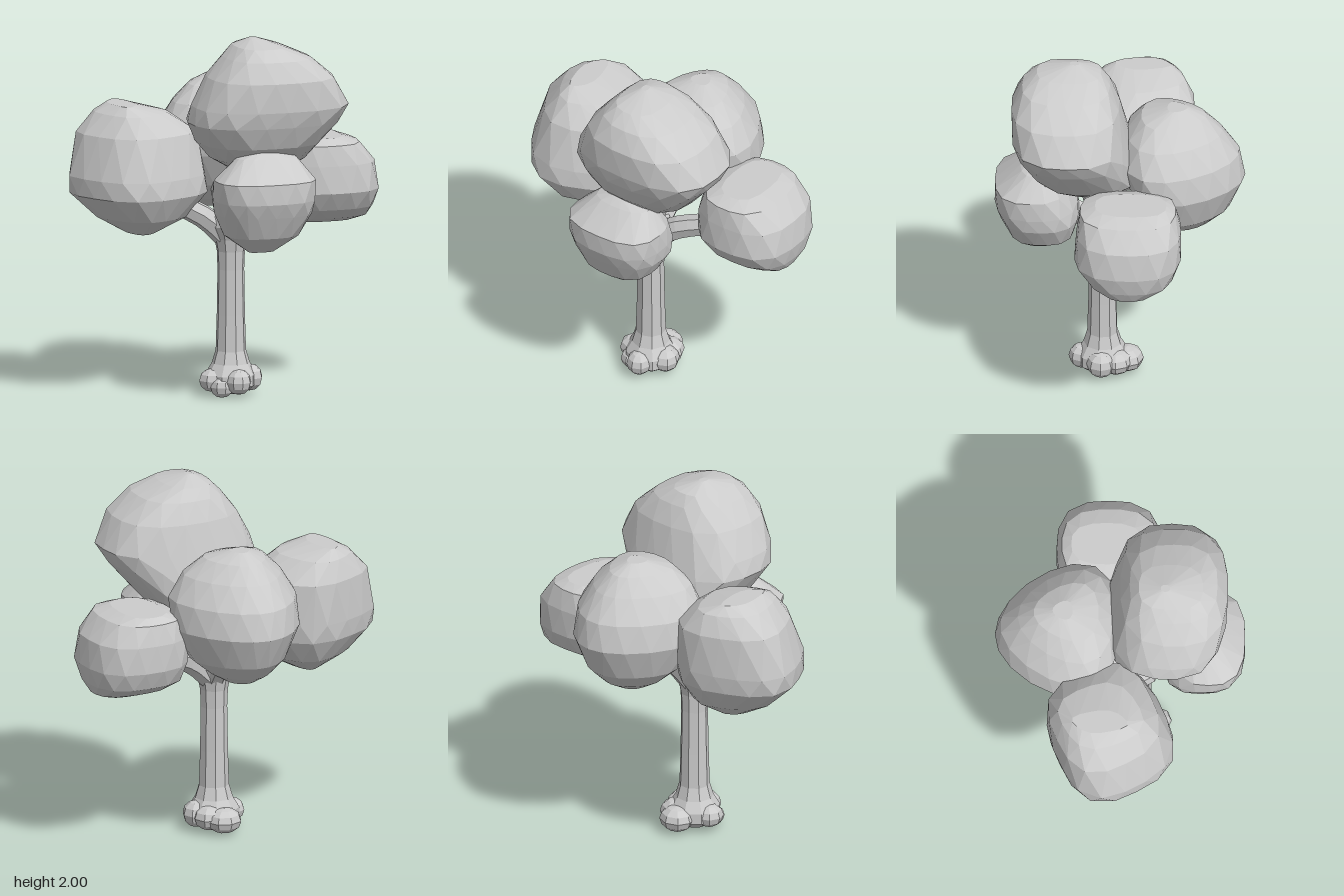
import * as THREE from 'three';
import { ConvexGeometry } from 'three/addons/geometries/ConvexGeometry.js';

const V = (x, y, z) => new THREE.Vector3(x, y, z);
const material = new THREE.MeshStandardMaterial({ color: 0xcccccc, flatShading: true });

// Outline of a rounded square turned by yaw, scaled to fill -1..1 both ways.
// Taper narrows its back (-z) and widens its front.
function outline(sides, power, yaw, taper, shift) {
  const pts = [];
  for (let i = 0; i < sides; i++) {
    const a = ((i + shift) / sides) * Math.PI * 2;
    const c = Math.cos(a), s = Math.sin(a);
    const r = (Math.abs(c) ** power + Math.abs(s) ** power) ** (-1 / power);
    const z = r * Math.sin(a + yaw);
    pts.push([r * Math.cos(a + yaw) * (1 + taper * z), z]);
  }
  const mx = Math.max(...pts.map(p => Math.abs(p[0])));
  const mz = Math.max(...pts.map(p => Math.abs(p[1])));
  return pts.map(p => [p[0] / mx, p[1] / mz]);
}

// Faceted leaf clump from horizontal sections [y, xMin, xMax, zMin, zMax].
function clump(sections, power, yaw = 0, taper = 0) {
  const pts = [];
  sections.forEach(([y, x0, x1, z0, z1], i) => {
    for (const [u, w] of outline(16, power, yaw, taper, (i % 2) * 0.5)) {
      pts.push(V((x0 + x1) / 2 + u * (x1 - x0) / 2, y, (z0 + z1) / 2 + w * (z1 - z0) / 2));
    }
  });
  return new ConvexGeometry(pts);
}

// Tapering branch along a curve.
function branch(points, r0, r1) {
  const steps = 7, sides = 7;
  const curve = new THREE.CatmullRomCurve3(points);
  const geo = new THREE.TubeGeometry(curve, steps, 1, sides);
  const pos = geo.attributes.position, v = V(0, 0, 0);
  for (let i = 0; i < pos.count; i++) {
    const t = Math.floor(i / (sides + 1)) / steps;
    const c = curve.getPointAt(t);
    v.fromBufferAttribute(pos, i).sub(c).multiplyScalar(r0 + (r1 - r0) * t).add(c);
    pos.setXYZ(i, v.x, v.y, v.z);
  }
  geo.computeVertexNormals();
  return geo;
}

export function createModel() {
  const group = new THREE.Group();
  const add = (name, geo) => {
    const mesh = new THREE.Mesh(geo, material);
    mesh.name = name;
    group.add(mesh);
    return mesh;
  };

  // Leaf clumps
  add('topClump', clump([
    [2.0, 0.05, 0.09, 0.22, 0.27], [1.96, -0.04, 0.22, 0.1, 0.45],
    [1.9, -0.1, 0.36, 0.05, 0.53], [1.79, -0.19, 0.49, 0, 0.585],
    [1.63, -0.27, 0.58, -0.03, 0.585], [1.54, -0.29, 0.53, -0.055, 0.56],
    [1.42, -0.22, 0.43, -0.09, 0.51], [1.33, -0.14, 0.36, -0.085, 0.43],
    [1.26, -0.02, 0.26, -0.02, 0.32],
  ], 2.8));
  add('rightClump', clump([
    [1.615, -0.63, -0.5, -0.26, 0.04], [1.57, -0.71, -0.32, -0.34, 0.13],
    [1.46, -0.8, -0.17, -0.39, 0.21], [1.23, -0.87, -0.12, -0.4, 0.29],
    [1.13, -0.85, -0.13, -0.38, 0.29], [1.0, -0.72, -0.23, -0.31, 0.22],
    [0.91, -0.56, -0.41, -0.17, 0.08],
  ], 3, -0.46));
  add('backClump', clump([
    [1.715, -0.01, 0.1, -0.37, -0.26], [1.67, -0.12, 0.22, -0.47, -0.12],
    [1.58, -0.22, 0.33, -0.56, -0.04], [1.45, -0.3, 0.41, -0.65, 0],
    [1.3, -0.31, 0.42, -0.685, -0.04], [1.12, -0.22, 0.33, -0.6, -0.15],
    [1.03, -0.12, 0.22, -0.51, -0.24], [0.98, -0.03, 0.13, -0.42, -0.31],
  ], 2.2, 0, 0.32));
  add('leftClump', clump([
    [1.39, 0.43, 0.67, -0.27, 0.12], [1.36, 0.35, 0.76, -0.32, 0.2],
    [1.25, 0.3, 0.85, -0.35, 0.22], [1.1, 0.3, 0.87, -0.35, 0.23],
    [1.0, 0.33, 0.85, -0.31, 0.17], [0.94, 0.39, 0.82, -0.21, 0.08],
    [0.91, 0.45, 0.74, -0.13, 0],
  ], 2.8));
  add('frontClump', clump([
    [1.4, 0, 0.12, 0.41, 0.49], [1.37, -0.09, 0.24, 0.35, 0.54],
    [1.25, -0.22, 0.33, 0.28, 0.68], [1.14, -0.22, 0.33, 0.23, 0.68],
    [1.06, -0.2, 0.32, 0.22, 0.65], [0.94, -0.15, 0.25, 0.25, 0.595],
    [0.88, -0.07, 0.16, 0.36, 0.52], [0.85, -0.03, 0.11, 0.42, 0.49],
  ], 2.8));

  // Trunk, flaring at both ends
  const profile = [[0, 0.015], [0.09, 0.02], [0.14, 0.06], [0.14, 0.12], [0.105, 0.18], [0.084, 0.25],
    [0.078, 0.45], [0.074, 0.7], [0.078, 0.8], [0.092, 0.87], [0.122, 0.94], [0.11, 1.0], [0, 1.02]];
  const trunk = add('trunk', new THREE.LatheGeometry(profile.map(p => new THREE.Vector2(...p)), 9));
  trunk.position.set(-0.005, 0, 0.095);

  // Branches reaching into the clumps
  const tips = [
    [V(0.05, 1.1, 0.13), V(0.12, 1.4, 0.2)],
    [V(-0.15, 0.99, 0.07), V(-0.42, 1.12, 0)],
    [V(0.01, 1.0, -0.03), V(0.05, 1.2, -0.25)],
    [V(0.15, 0.98, 0.07), V(0.45, 1.1, 0)],
    [V(0.02, 0.99, 0.18), V(0.04, 1.1, 0.38)],
  ];
  for (const [mid, end] of tips) add('branch', branch([V(0, 0.85, 0.095), mid, end], 0.07, 0.058));

  // Knobbly roots: centre and radii
  const roots = [
    [0, 0.09, 0.21, 0.07, 0.07, 0.07], [0.1, 0.095, 0.1, 0.075, 0.075, 0.08],
    [-0.11, 0.09, 0.1, 0.08, 0.065, 0.08], [0, 0.08, -0.04, 0.1, 0.07, 0.09],
    [-0.08, 0.06, 0.16, 0.065, 0.06, 0.065], [0.06, 0.09, 0.02, 0.09, 0.07, 0.09],
  ];
  for (const [x, y, z, a, b, c] of roots) {
    const root = add('root', new THREE.SphereGeometry(1, 8, 6));
    root.position.set(x, y, z);
    root.scale.set(a, b, c);
  }
  return group;
}
